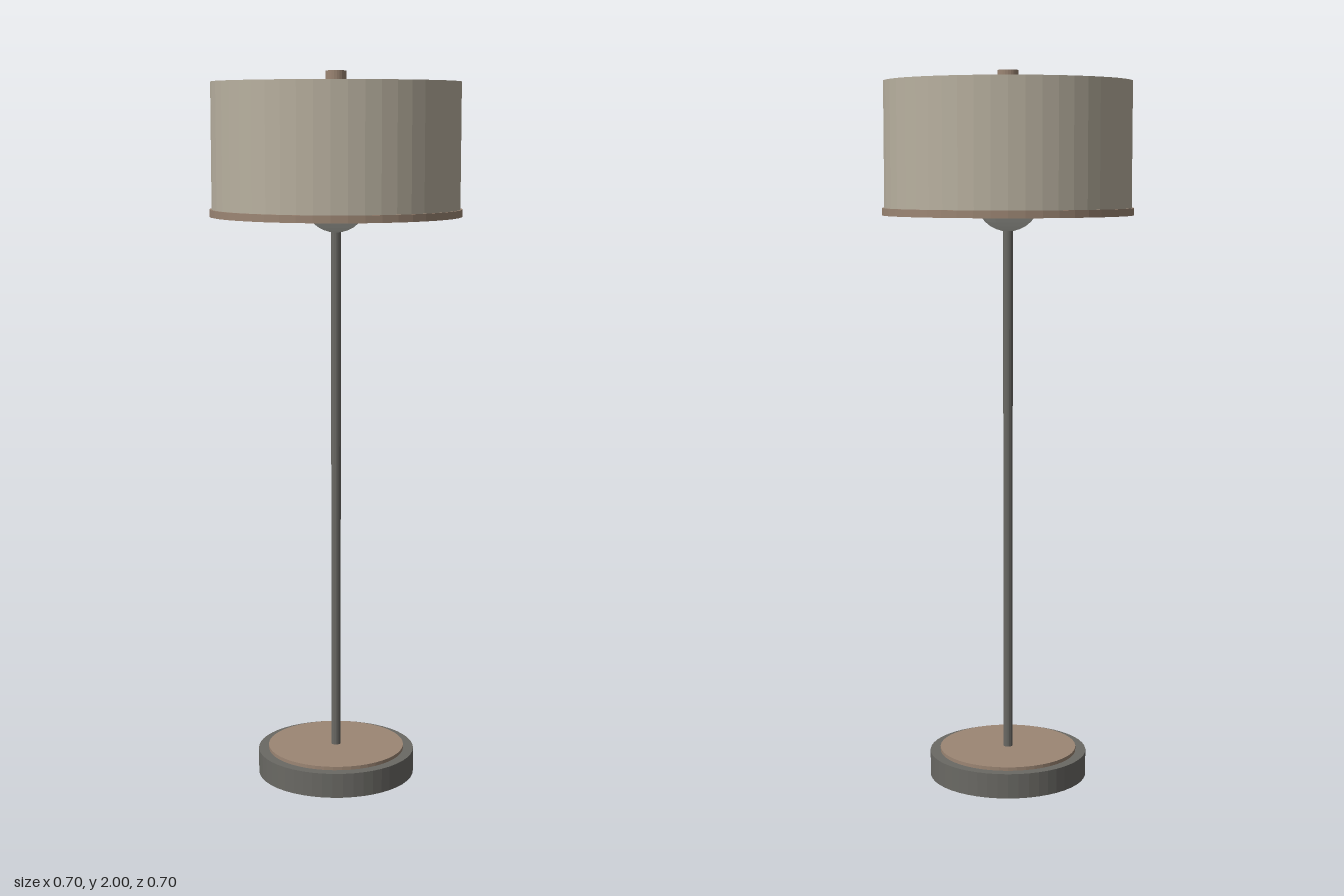
import * as THREE from 'three';

export function createModel() {
  const lamp = new THREE.Group();
  lamp.name = 'floorLamp';

  const material = (color) => new THREE.MeshStandardMaterial({ color, flatShading: true });
  const metal = material(0x6a6964);
  const wood = material(0x9c8674);
  const fabric = material(0xb9b1a0);
  const glass = material(0xcbcbc2);

  // Upright disc or rod spanning two heights
  function disc(name, radius, bottom, top, sides, mat) {
    const mesh = new THREE.Mesh(
      new THREE.CylinderGeometry(radius, radius, top - bottom, sides), mat);
    mesh.name = name;
    mesh.position.y = (bottom + top) / 2;
    lamp.add(mesh);
  }

  // Weighted foot with a thin inlay on top
  disc('base', 0.224, 0, 0.07, 48, metal);
  disc('baseInlay', 0.195, 0.07, 0.08, 48, wood);

  // Pole
  disc('pole', 0.0135, 0.07, 1.61, 16, metal);

  // Closed drum shade with bottom trim and finial
  disc('shade', 0.343, 1.62, 1.97, 48, fabric);
  disc('shadeTrim', 0.349, 1.605, 1.625, 48, wood);
  disc('finial', 0.029, 1.97, 2, 24, wood);

  // Bulb dipping below the shade
  const bulb = new THREE.Mesh(new THREE.SphereGeometry(0.09, 24, 16), glass);
  bulb.name = 'bulb';
  bulb.position.y = 1.65;
  lamp.add(bulb);

  return lamp;
}
